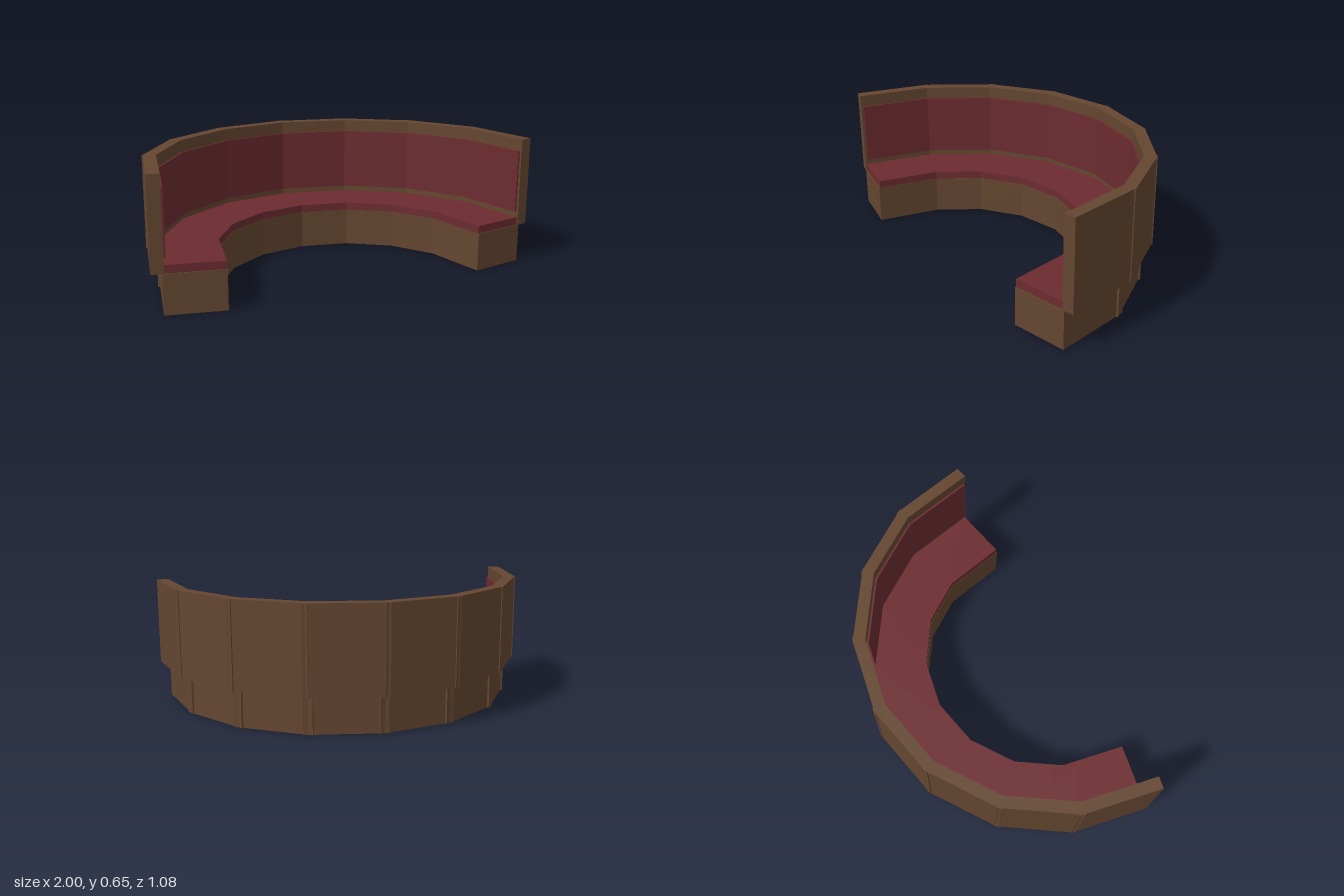
import * as THREE from 'three';

const SEGMENTS = 8;
const STEP = Math.PI / SEGMENTS;
const CENTRE_Z = 0.46; // centre of the half circle

export function createModel() {
  const wood = new THREE.MeshStandardMaterial({ color: 0x644630 });
  wood.name = 'dark wood';
  const leather = new THREE.MeshStandardMaterial({ color: 0x6c2c30 });
  leather.name = 'wine red upholstery';

  const model = new THREE.Group();
  model.name = 'curvedBoothBench';

  // One ring of straight blocks; inner and outer are distances from the centre
  function addRing(name, material, inner, outer, bottom, top, length) {
    const ring = new THREE.Group();
    ring.name = name;
    ring.position.z = CENTRE_Z;
    const geometry = new THREE.BoxGeometry(length, top - bottom, outer - inner);
    geometry.translate(0, (top + bottom) / 2, -(inner + outer) / 2);
    for (let i = 0; i < SEGMENTS; i++) {
      const block = new THREE.Mesh(geometry, material);
      block.name = name + 'Segment';
      block.rotation.y = (i - (SEGMENTS - 1) / 2) * STEP;
      ring.add(block);
    }
    model.add(ring);
  }

  addRing('base', wood, 0.637, 0.927, 0, 0.196, 0.416);
  addRing('seatCushion', leather, 0.639, 0.918, 0.196, 0.236, 0.406);
  addRing('backrest', wood, 0.917, 0.978, 0.196, 0.65, 0.416);
  addRing('backrestPad', leather, 0.907, 0.925, 0.265, 0.588, 0.392);

  return model;
}
